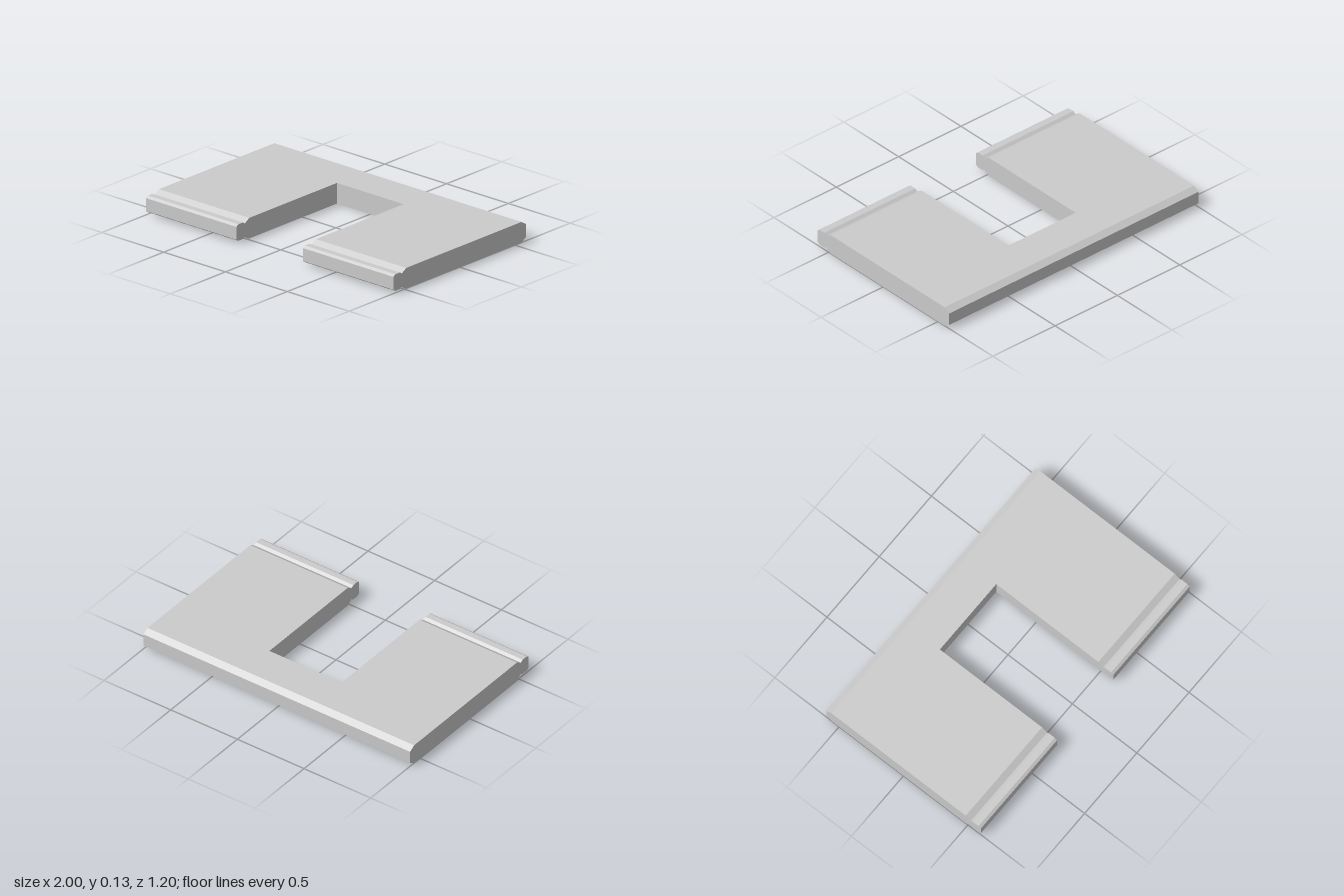
import * as THREE from 'three';

const HEIGHT = 0.133, HALF_WIDTH = 1, SLOT = 0.27, SLOT_BACK = -0.31;

// Closed (z, y) section from its upper outline, mirrored about mid height
function section(upper) {
  const lower = upper.map(([z, y]) => [z, HEIGHT - y]).reverse();
  return new THREE.Shape([...upper, ...lower].map(([z, y]) => new THREE.Vector2(z, y)));
}

// Sweep a section along x from x0 to x1
function sweep(name, upper, x0, x1, material) {
  const geometry = new THREE.ExtrudeGeometry(section(upper), { depth: x1 - x0, bevelEnabled: false });
  geometry.rotateY(-Math.PI / 2).translate(x1, 0, 0);
  const mesh = new THREE.Mesh(geometry, material);
  mesh.name = name;
  return mesh;
}

export function createModel() {
  const group = new THREE.Group();
  group.name = 'slottedPanel';
  const material = new THREE.MeshStandardMaterial({ color: 0xcccccc, flatShading: true });

  // Chamfered back edge, shared by every section
  const backEdge = [[-0.6, 0.108], [-0.56, HEIGHT]];

  // Arms: flat slab, V groove, then a small chamfered bead at the front
  const armProfile = [
    ...backEdge,
    [0.483, HEIGHT], [0.522, 0.108],
    [0.541, 0.12], [0.582, 0.12], [0.6, 0.108],
  ];
  group.add(sweep('leftArm', armProfile, SLOT, HALF_WIDTH, material));
  group.add(sweep('rightArm', armProfile, -HALF_WIDTH, -SLOT, material));

  // Bridge joining the arms behind the slot
  group.add(sweep('backBridge', [...backEdge, [SLOT_BACK, HEIGHT]], -SLOT, SLOT, material));

  return group;
}
